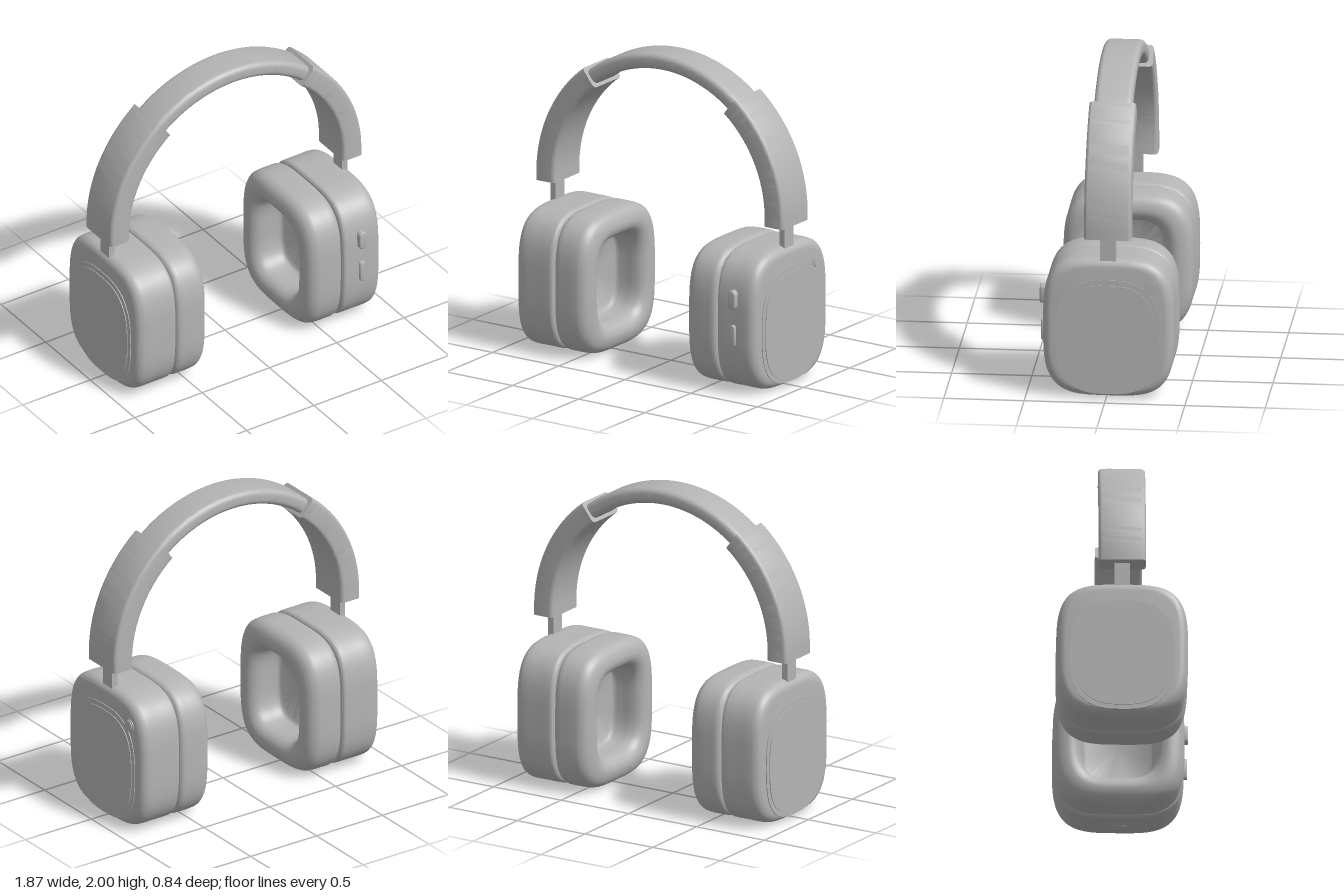
import * as THREE from 'three';
import { toCreasedNormals } from 'three/addons/utils/BufferGeometryUtils.js';

const CZ = -0.01;                       // depth centre line of the headset
const ARC_Y = 1.088, ARC_R = 0.8625;    // headband arc centre height and mid radius

// Closed solid through rings of points (counter-clockwise about the travel direction)
function loft(rings) {
  const n = rings[0].length, pos = [], idx = [];
  rings.forEach(r => r.forEach(p => pos.push(p.x, p.y, p.z)));
  for (let i = 0; i < rings.length - 1; i++) {
    for (let j = 0; j < n; j++) {
      const a = i * n + j, b = i * n + (j + 1) % n;
      idx.push(a, b, a + n, b, b + n, a + n);
    }
  }
  for (const end of [0, rings.length - 1]) {
    const c = new THREE.Vector3();
    rings[end].forEach(p => c.addScaledVector(p, 1 / n));
    const k = pos.length / 3;
    pos.push(c.x, c.y, c.z);
    for (let j = 0; j < n; j++) {
      const a = end * n + j, b = end * n + (j + 1) % n;
      if (end) idx.push(k, a, b); else idx.push(k, b, a);
    }
  }
  const g = new THREE.BufferGeometry();
  g.setAttribute('position', new THREE.Float32BufferAttribute(pos, 3));
  g.setIndex(idx);
  return toCreasedNormals(g, 0.75);
}

// Squircle ring in the y-z plane; side mirrors it in x
function squircle(side, x, halfZ, halfY, cy, power) {
  const pts = [], f = v => Math.sign(v) * Math.abs(v) ** (2 / power);
  for (let i = 0; i < 80; i++) {
    const t = side * i / 80 * Math.PI * 2;
    pts.push(new THREE.Vector3(side * x, cy + halfY * f(Math.cos(t)), CZ + halfZ * f(Math.sin(t))));
  }
  return pts;
}

// Cup body from a profile of [x, inset]
function cupSolid(side, profile, steps) {
  const curve = new THREE.CatmullRomCurve3(profile.map(([x, i]) => new THREE.Vector3(x, i, 0)));
  return loft(curve.getPoints(steps).map(p =>
    squircle(side, p.x, 0.408 - p.y, 0.451 - p.y, 0.454, 3.6)));
}

// Rounded rectangle swept along the headband arc; path holds [degrees, extra y]
function bandSolid(path, width, thick, radius) {
  const section = [];
  [[1, 1], [-1, 1], [-1, -1], [1, -1]].forEach(([su, sv], q) => {
    for (let k = 0; k <= 6; k++) {
      const t = (q + k / 6) * Math.PI / 2;
      section.push([su * (width / 2 - radius) + radius * Math.cos(t),
        sv * (thick / 2 - radius) + radius * Math.sin(t)]);
    }
  });
  return loft(path.map(([deg, dy]) => {
    const a = deg * Math.PI / 180;
    return section.map(([u, v]) => new THREE.Vector3(
      (ARC_R + v) * Math.cos(a), ARC_Y + dy + (ARC_R + v) * Math.sin(a), CZ + u));
  }));
}

function arc(from, to, steps) {
  return Array.from({ length: steps + 1 }, (_, i) => [from + (to - from) * i / steps, 0]);
}

// Upright pill with a bevelled front, facing +z
function pill(halfW, halfH, depth, bevel) {
  const w = halfW - bevel, h = halfH - halfW, s = new THREE.Shape();
  s.absarc(0, h, w, 0, Math.PI, false);
  s.absarc(0, -h, w, Math.PI, Math.PI * 2, false);
  s.closePath();
  const g = new THREE.ExtrudeGeometry(s, {
    depth: depth - 2 * bevel, bevelSize: bevel, bevelThickness: bevel, bevelSegments: 3, curveSegments: 16
  });
  g.translate(0, 0, bevel - depth);     // front face at z = 0
  return toCreasedNormals(g, 0.75);
}

export function createModel() {
  const model = new THREE.Group();
  model.name = 'headphones';
  const grey = new THREE.MeshStandardMaterial({ color: 0xb4b4b4 });
  grey.name = 'grey';
  const add = (parent, name, geometry, x = 0, y = 0, z = 0) => {
    const m = new THREE.Mesh(geometry, grey);
    m.name = name;
    m.position.set(x, y, z);
    parent.add(m);
    return m;
  };

  // Headband with a thicker sleeve on each side
  add(model, 'headband', bandSolid(arc(45, 135, 60), 0.24, 0.1, 0.035));
  add(model, 'leftSleeve', bandSolid([[0, -0.048], ...arc(0, 52, 36)], 0.292, 0.145, 0.025));
  add(model, 'rightSleeve', bandSolid([...arc(128, 180, 36), [180, -0.048]], 0.292, 0.145, 0.025));

  for (const side of [1, -1]) {
    const cup = new THREE.Group();
    cup.name = side > 0 ? 'leftCup' : 'rightCup';
    model.add(cup);

    // Slider post between sleeve and cup
    add(cup, 'sliderPost', new THREE.BoxGeometry(0.04, 0.22, 0.098), side * 0.865, 0.96, CZ);

    // Outer shell
    add(cup, 'shell', cupSolid(side, [[0.617, 0.035], [0.622, 0.013], [0.635, 0.002], [0.655, 0],
      [0.74, 0], [0.835, 0], [0.865, 0.005], [0.888, 0.019], [0.902, 0.042], [0.906, 0.075]], 60));

    // Hollow ear cushion, from the driver floor over the lip to the seam
    add(cup, 'earCushion', cupSolid(side, [[0.585, 0.215], [0.57, 0.192], [0.52, 0.182], [0.45, 0.178],
      [0.41, 0.166], [0.382, 0.14], [0.37, 0.105], [0.376, 0.064], [0.395, 0.029], [0.428, 0.007],
      [0.47, 0.001], [0.54, 0], [0.585, 0.002], [0.605, 0.012], [0.618, 0.04]], 90));

    // Stepped face plate
    add(cup, 'panelRing', loft([0.84, 0.911].map(x => squircle(side, x, 0.325, 0.37, 0.4, 2.8))));
    add(cup, 'panel', loft([0.85, 0.916].map(x => squircle(side, x, 0.295, 0.338, 0.398, 2.8))));
  }

  // Controls on the left cup
  const controls = new THREE.Group();
  controls.name = 'controls';
  model.add(controls);
  for (const [name, r, x] of [['roundButtonBezel', 0.045, 0.911], ['roundButton', 0.035, 0.917]]) {
    const g = new THREE.CylinderGeometry(r, r, 0.04, 32);
    g.rotateZ(-Math.PI / 2);
    add(controls, name, g, x - 0.02, 0.73, -0.275);
  }
  add(controls, 'largeSideButton', pill(0.028, 0.062, 0.06, 0.008), 0.75, 0.625, 0.425);
  add(controls, 'smallSideButton', pill(0.018, 0.07, 0.05, 0.005), 0.75, 0.392, 0.417);

  // Port surround under the left cup
  add(controls, 'port', pill(0.018, 0.055, 0.02, 0.002).rotateX(Math.PI / 2), 0.76, 0, CZ);

  return model;
}
